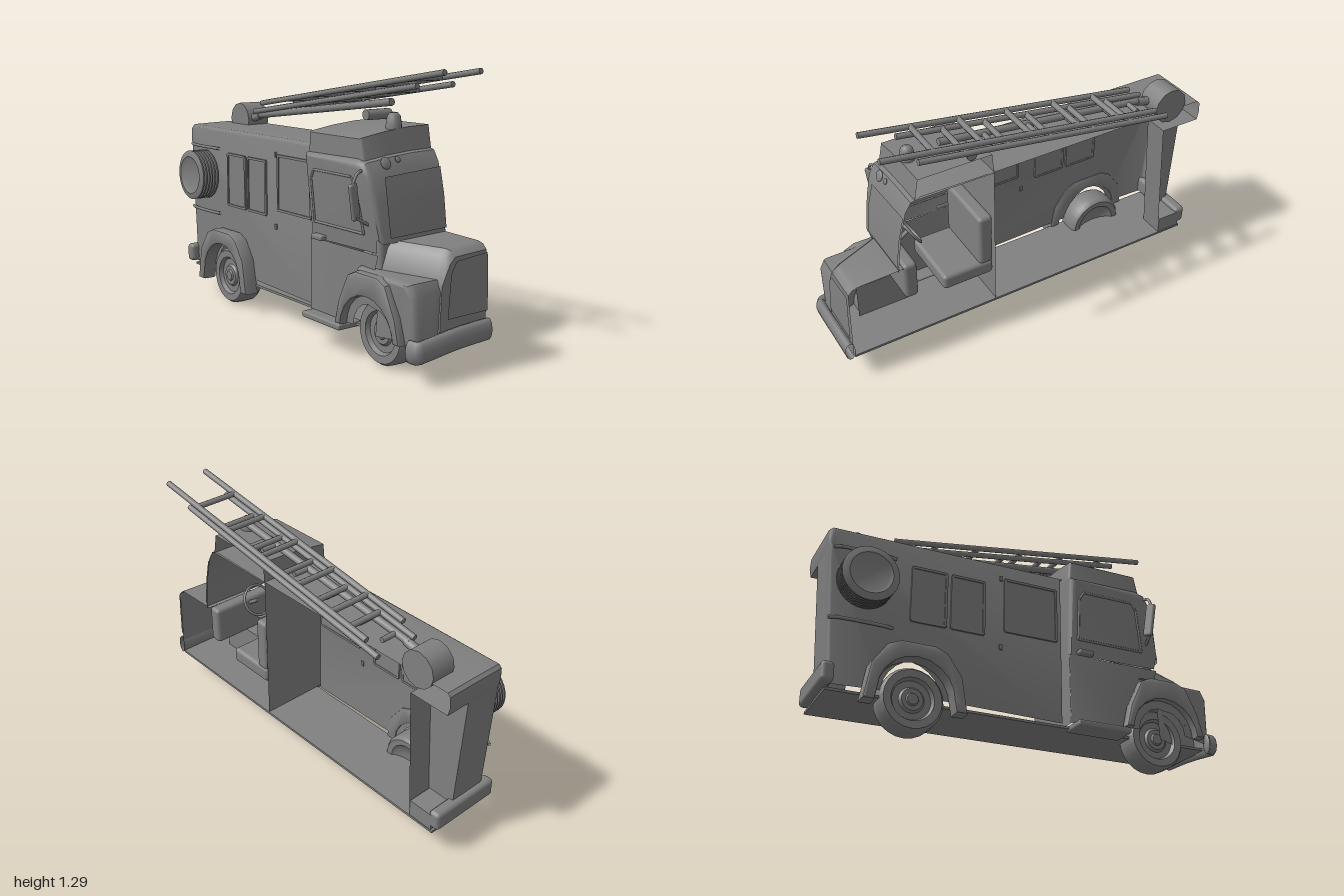
import * as THREE from 'three';
import { toCreasedNormals } from 'three/addons/utils/BufferGeometryUtils.js';
import { RoundedBoxGeometry } from 'three/addons/geometries/RoundedBoxGeometry.js';

const CUT = 0.187; // the half body is open on this plane
const mat = new THREE.MeshStandardMaterial({ color: 0x808080, side: THREE.DoubleSide });
const V = (x, y, z) => new THREE.Vector3(x, y, z);

export function createModel() {
  const root = new THREE.Group();
  const add = (name, geo) => {
    const m = new THREE.Mesh(geo, mat);
    m.name = name;
    root.add(m);
    return m;
  };
  // box given by its two extreme corners
  const box = (name, a, b, r = 0) => {
    const s = a.map((v, i) => Math.abs(b[i] - v));
    const g = r ? new RoundedBoxGeometry(...s, 2, r) : new THREE.BoxGeometry(...s);
    return add(name, g.translate(...a.map((v, i) => (v + b[i]) / 2)));
  };
  const rod = (name, a, b, r, n = 8) => {
    const d = b.clone().sub(a);
    const m = add(name, new THREE.CylinderGeometry(r, r, d.length(), n));
    m.position.copy(a).addScaledVector(d, 0.5);
    m.quaternion.setFromUnitVectors(V(0, 1, 0), d.normalize());
    return m;
  };
  const pipe = (name, pts, r, stretch = 1) => add(name, new THREE.TubeGeometry(
    new THREE.CatmullRomCurve3(pts.map(p => V(p[0], p[1] / stretch, p[2]))), 24, r, 10).scale(1, stretch, 1));
  const geoFrom = (pos, idx) => {
    const g = new THREE.BufferGeometry();
    g.setAttribute('position', new THREE.Float32BufferAttribute(pos.flat(), 3));
    g.setIndex(idx);
    return toCreasedNormals(g, 0.6);
  };
  // surface through rows of points
  const surface = (name, rows) => {
    const n = rows[0].length, idx = [];
    for (let i = 0; i < rows.length - 1; i++) for (let j = 0; j < n - 1; j++) {
      const a = i * n + j, b = a + n;
      idx.push(a, b, a + 1, b, b + 1, a + 1);
    }
    return add(name, geoFrom(rows.flat(), idx));
  };
  // half shell: [z, y] outline, skin runs from inner(i) to outer x with a rounded edge and a side wall
  const shell = (name, outline, outer, r, inner, crown = 0) => {
    const c = outline.reduce((s, p) => [s[0] + p[0] / outline.length, s[1] + p[1] / outline.length], [0, 0]);
    const point = (p, x, inset) => {
      const d = Math.hypot(c[0] - p[0], c[1] - p[1]);
      const z = p[0] + (c[0] - p[0]) / d * inset, y = p[1] + (c[1] - p[1]) / d * inset;
      return [x, y - crown * Math.max(0, (y - 0.5) / 0.43) * (CUT - x) ** 2, z];
    };
    const edge = (p, a) => point(p, outer(p[1]) + r * (1 - Math.sin(a)), r * (1 - Math.cos(a)));
    const angles = [0, 1, 2, 3].map(k => k * Math.PI / 6);
    const pos = [], idx = [];
    outline.forEach((p, i) => {
      const q = outline[(i + 1) % outline.length], x0 = inner(i);
      if (x0 === null) return;
      const line = v => {
        const end = outer(v[1]) + r;
        return [0, 0.33, 0.67].map(t => point(v, x0 + (end - x0) * t, 0)).concat(angles.map(a => edge(v, a)));
      };
      const A = line(p), B = line(q), o = pos.length, n = A.length;
      pos.push(...A, ...B);
      for (let j = 0; j < n - 1; j++) idx.push(o + j, o + j + 1, o + n + j, o + j + 1, o + n + j + 1, o + n + j);
    });
    const o = pos.length;
    pos.push(...outline.map(p => edge(p, Math.PI / 2)));
    THREE.ShapeUtils.triangulateShape(outline.map(p => new THREE.Vector2(...p)), [])
      .forEach(f => idx.push(...f.map(k => o + k)));
    return add(name, geoFrom(pos, idx));
  };
  const arch = (z, r, n = 10) => Array.from({ length: n + 1 }, (_, k) =>
    [z - r * Math.cos(k * Math.PI / n), 0.15 + r * Math.sin(k * Math.PI / n)]);

  // cab with roof, windscreen wall, doors and rear partition
  const cabX = y => -0.19 - 0.0925 * (y - 0.5);
  shell('cab', [[0.19, 0.48], [0.19, 0.93], [0.56, 0.935], [0.61, 0.92], [0.64, 0.87], [0.67, 0.74], [0.695, 0.55],
    [0.68, 0.48]], cabX, 0.03, i => i < 6 ? CUT : null, 0.2);
  shell('lowerDoor', [[0.19, 0.15], [0.19, 0.5], [0.68, 0.5], [0.66, 0.43], [0.53, 0.34], [0.47, 0.15]],
    () => -0.19, 0.004, i => i === 0 ? CUT : null);
  surface('windscreen', [[[-0.14, 0.83, 0.656], [CUT, 0.85, 0.652]], [[-0.145, 0.72, 0.681], [CUT, 0.73, 0.68]],
    [[-0.14, 0.57, 0.7], [CUT, 0.58, 0.7]]]);
  const pane = [[0.83, 0.26], [0.83, 0.53], [0.79, 0.555], [0.58, 0.59], [0.58, 0.235], [0.79, 0.235]]
    .map(([y, z]) => V(cabX(y) - 0.002, y - 0.02 * (y - 0.58), z));
  pane.forEach((p, i) => rod('doorWindowFrame', p, pane[(i + 1) % pane.length], 0.006));
  box('doorHandle', [-0.222, 0.5, 0.23], [-0.185, 0.525, 0.31], 0.008);
  box('runningBoard', [-0.25, 0.125, 0.2], [-0.12, 0.155, 0.48], 0.01);
  for (const [x, y, r] of [[-0.11, 0.885, 0.028], [-0.043, 0.897, 0.015]]) {
    const lamp = add('cabLamp', new THREE.SphereGeometry(r, 14, 8).scale(1, 1, 0.3));
    lamp.position.set(x, y, 0.627);
    lamp.rotation.x = -0.4;
  }

  // roof sign, beacon and horn
  shell('roofSign', [[0.19, 0.925], [0.2, 1.03], [0.57, 1.03], [0.59, 0.925]], () => -0.203, 0.012, () => CUT, 0.2);
  add('beacon', new THREE.LatheGeometry([[0.036, 0], [0.036, 0.02], [0.03, 0.06], [0.018, 0.075], [0, 0.078]]
    .map(p => new THREE.Vector2(...p)), 14)).position.set(0.012, 1.015, 0.535);
  rod('roofHorn', V(0.045, 1.06, 0.3), V(CUT, 1.06, 0.3), 0.025, 14);

  // bonnet, grille and front wings
  const bonnetRow = (z, xo, top) => [[xo - 0.02, 0.14, z], [xo, 0.4, z], [xo + 0.045, top - 0.035, z],
    [xo + 0.075, top - 0.008, z], [CUT, top, z]];
  const nose = bonnetRow(0.945, -0.07, 0.525);
  surface('bonnet', [bonnetRow(0.67, -0.175, 0.562), bonnetRow(0.9, -0.085, 0.555), bonnetRow(0.925, -0.075, 0.547),
    nose, nose.map(p => [p[0], 0.14, 0.955])]);
  surface('grille', [[[0.005, 0.5, 0.953], [CUT, 0.515, 0.953]], [[-0.03, 0.45, 0.957], [CUT, 0.45, 0.957]],
    [[-0.05, 0.26, 0.963], [CUT, 0.26, 0.963]]]);
  const wing = [...arch(0.67, 0.153), [0.945, 0.13], [0.94, 0.38], [0.915, 0.425], [0.57, 0.435], [0.49, 0.36], [0.46, 0.15]];
  shell('frontWing', wing, y => -0.215 - 0.05 * (y - 0.15), 0.03, i => i > 10 && i < 14 ? -0.07 : null);
  surface('innerWheelHousing', [[[-0.04, 0.15, 0.53], [-0.04, 0.15, 0.83]], [[-0.04, 0.335, 0.53], [-0.04, 0.335, 0.83]],
    [[-0.2, 0.335, 0.53], [-0.2, 0.335, 0.83]]]);

  // wheel arch flares
  const flare = (name, z, x0, x1, foot, wide, top) => {
    const pts = [[0.24, foot], [0.21, 0.27], [0.14, top - 0.025], [0.08, top], [-0.08, top], [-0.14, top - 0.025],
      [-0.21, 0.27], [-0.24, foot]].map(p => [p[0] * wide, p[1]]);
    const inner = arch(0, 0.175).map(p => [p[0], Math.max(p[1], foot)]);
    const s = new THREE.Shape([...pts, [-0.185, foot], ...inner, [0.185, foot]].map(p => new THREE.Vector2(...p)));
    const g = new THREE.ExtrudeGeometry(s, { depth: x1 - x0 - 0.03, bevelSize: 0.012, bevelOffset: -0.012,
      bevelThickness: 0.015, bevelSegments: 2 });
    add(name, toCreasedNormals(g.rotateY(-Math.PI / 2), 0.6)).position.set(x1 - 0.015, 0, z);
  };
  flare('frontWheelArch', 0.67, -0.258, -0.2, 0.16, 0.9, 0.425);
  flare('rearWheelArch', -0.575, -0.222, -0.14, 0.1, 1, 0.395);

  // floor, bumpers and rear step
  box('floor', [-0.15, 0.135, -0.96], [CUT, 0.147, 0.95]);
  pipe('frontBumper', [[CUT, 0.18, 0.97], [0, 0.172, 0.97], [-0.18, 0.15, 0.965], [-0.215, 0.145, 0.96],
    [-0.222, 0.145, 0.92]], 0.025, 2);
  add('bumperEnd', new THREE.SphereGeometry(0.025, 12, 8).scale(1, 2, 0.4)).position.set(-0.222, 0.145, 0.92);
  box('rearBumper', [-0.19, 0.16, -0.99], [CUT, 0.255, -0.93], 0.02);
  box('rearStep', [0.06, 0.15, -0.95], [CUT, 0.235, -0.82]);

  // equipment body, with a recess in the middle of the rear
  const bodyOutline = [...arch(-0.575, 0.153).reverse(), [-0.955, 0.15], [-0.99, 0.82], [-0.998, 0.86], [-0.995, 0.915],
    [-0.98, 0.93], [0.19, 0.93], [0.19, 0.15]];
  shell('equipmentBody', bodyOutline, () => -0.148, 0.025,
    i => i === 11 ? 0.06 : i > 11 && i < 16 ? CUT : null, 0.05);
  surface('rearRecessSide', [[[0.06, 0.82, -0.78], [0.06, 0.82, -0.99]], [[0.06, 0.15, -0.82], [0.06, 0.15, -0.955]]]);
  surface('rearRecessDoor', [[[0.06, 0.82, -0.78], [CUT, 0.82, -0.78]], [[0.06, 0.15, -0.82], [CUT, 0.15, -0.82]]]);
  surface('rearRecessCeiling', [[[0.06, 0.82, -0.78], [CUT, 0.82, -0.78]], [[0.06, 0.82, -0.99], [CUT, 0.82, -0.99]]]);

  // side windows and shutters
  for (const [z0, z1, y0, y1] of [[-0.13, 0.14, 0.57, 0.84], [-0.4, -0.24, 0.53, 0.8], [-0.595, -0.43, 0.53, 0.8]]) {
    box('sideWindow', [-0.152, y0, z0], [-0.14, y1, z1]);
    for (const y of [y0, y1]) box('windowTrim', [-0.157, y - 0.006, z0], [-0.138, y + 0.006, z1]);
    for (const z of [z0, z1]) box('windowTrim', [-0.157, y0, z - 0.006], [-0.138, y1, z + 0.006]);
  }
  for (const y of [0.47, 0.83]) box('shutterHinge', [-0.156, y, -0.16], [-0.142, y + 0.025, -0.145]);
  for (const y of [0.47, 0.82]) pipe('cornerRail', [[-0.155, y, -0.68], [-0.163, y, -0.72], [-0.163, y, -0.93], [-0.15, y, -0.97]], 0.008);

  // hose reel on the side
  const ribs = [[0, 0], [0.1, 0]];
  for (let k = 0; k < 6; k++) ribs.push([0.132, 0.006 + k * 0.017], [0.132, 0.014 + k * 0.017], [0.118, 0.019 + k * 0.017]);
  ribs.push([0.1, 0.108], [0.085, 0.1], [0, 0.1]);
  const reel = add('hoseReel', toCreasedNormals(new THREE.LatheGeometry(ribs.map(p => new THREE.Vector2(...p)), 28), 0.5));
  reel.rotation.z = Math.PI / 2;
  reel.position.set(-0.15, 0.67, -0.82);

  // wheels with a plain dished inside and a stepped hub outside
  const tyre = [[0, -0.025], [0.05, -0.03], [0.09, -0.045], [0.105, -0.06], [0.135, -0.062], [0.147, -0.045],
    [0.149, 0], [0.147, 0.045], [0.135, 0.062], [0.1, 0.06], [0.09, 0.04], [0.06, 0.04], [0.05, 0.052], [0.03, 0.052],
    [0.025, 0.06], [0, 0.06]];
  for (const [name, z] of [['frontWheel', 0.67], ['rearWheel', -0.575]]) {
    const w = add(name, toCreasedNormals(new THREE.LatheGeometry(tyre.map(p => new THREE.Vector2(...p)), 24), 0.6));
    w.rotation.z = Math.PI / 2;
    w.position.set(-0.11, 0.149, z);
  }

  // cab interior
  box('seatCushion', [-0.15, 0.33, 0.2], [CUT, 0.41, 0.47], 0.02);
  box('seatBack', [-0.15, 0.4, 0.2], [CUT, 0.68, 0.275], 0.02);
  box('dashboard', [-0.17, 0.37, 0.6], [CUT, 0.57, 0.67], 0.02);
  const wheel = add('steeringWheel', new THREE.TorusGeometry(0.08, 0.007, 8, 24));
  wheel.position.set(-0.03, 0.585, 0.535);
  wheel.rotation.x = 0.56;
  rod('steeringColumn', V(-0.03, 0.585, 0.535), V(-0.03, 0.52, 0.63), 0.01);

  // mirror
  pipe('mirrorArm', [[-0.22, 0.86, 0.6], [-0.255, 0.85, 0.61], [-0.28, 0.79, 0.61], [-0.262, 0.67, 0.61], [-0.19, 0.62, 0.62]], 0.007);
  const mirror = add('mirror', new RoundedBoxGeometry(0.052, 0.165, 0.022, 2, 0.01));
  mirror.position.set(-0.265, 0.73, 0.605);
  mirror.rotation.set(0, 0.35, 0.2);

  // two stacked ladders on a sloping support frame
  const ladder = (name, za, ya, zb, yb, rungs) => {
    const at = z => ya + (z - za) * (yb - ya) / (zb - za);
    for (const x of [0.08, 0.297]) rod(name + 'Rail', V(x, ya, za), V(x, yb, zb), 0.014);
    for (const z of rungs) rod(name + 'Rung', V(0.08, at(z), z), V(0.297, at(z), z), 0.014);
  };
  ladder('upperLadder', 0.78, 1.272, -0.62, 1.055, [0.54, 0.31, 0.07, -0.18, -0.4]);
  ladder('lowerLadder', 0.61, 1.207, -0.69, 1.005, [0.39, 0.18, -0.04, -0.27, -0.48]);
  rod('supportBeam', V(0.1, 1.125, 0.42), V(0.1, 0.985, -0.68), 0.018);
  for (const z of [0.2, -0.03, -0.24, -0.46, -0.6]) {
    const y = 1.125 + (z - 0.42) * 0.127;
    rod('supportCrossbar', V(0.1, y, z), V(CUT, y, z), 0.013);
  }
  rod('supportArm', V(0.1, 0.985, -0.66), V(0.1, 0.95, -0.8), 0.022);
  rod('ladderPivotDrum', V(0.06, 0.955, -0.81), V(CUT, 0.955, -0.81), 0.09, 12);
  return root;
}
